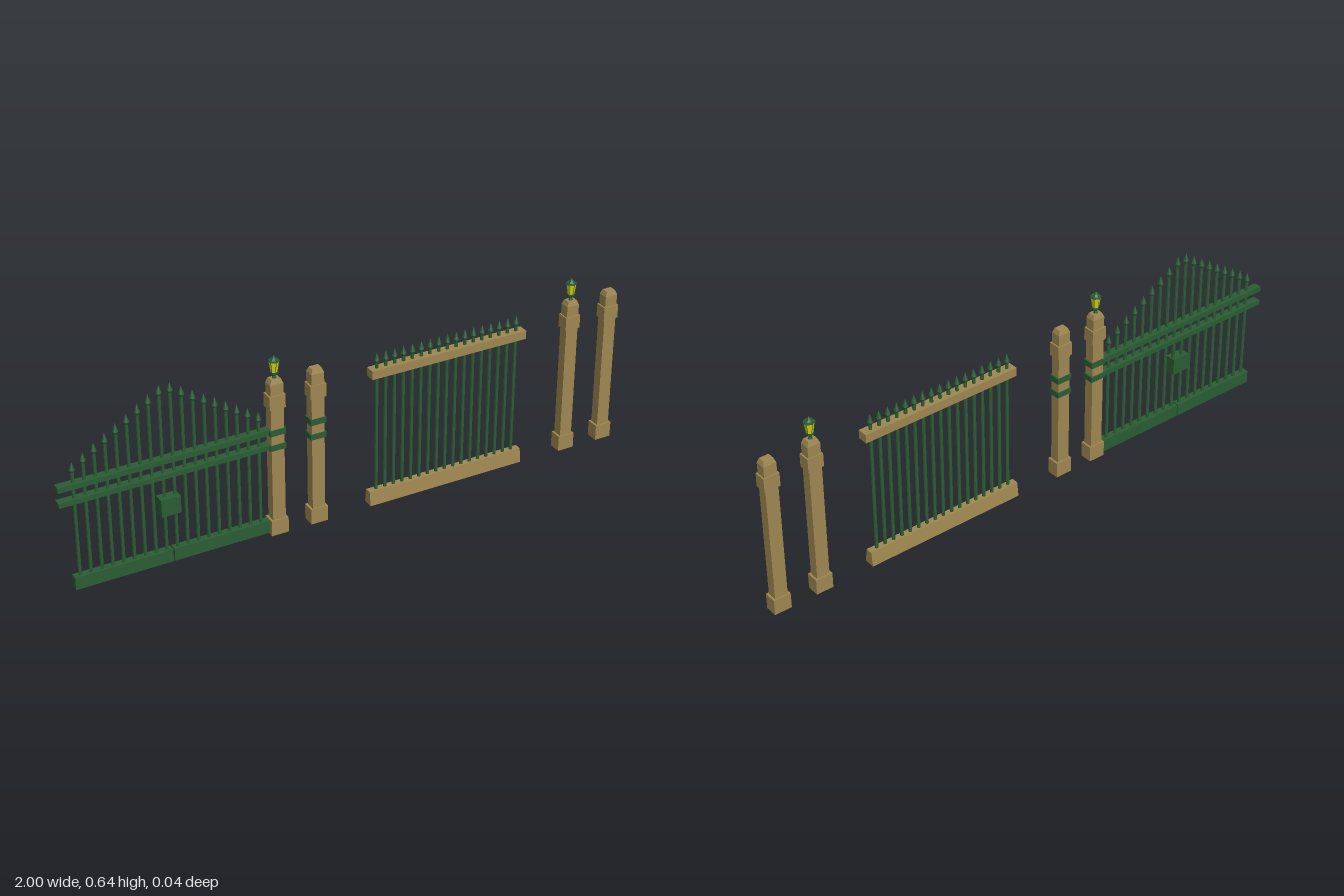
import * as THREE from 'three';

const stone = new THREE.MeshStandardMaterial({ color: 0x9e8650, flatShading: true });
const iron = new THREE.MeshStandardMaterial({ color: 0x2a5c34, flatShading: true });
const glass = new THREE.MeshStandardMaterial({ color: 0xd8d010, flatShading: true });

function add(parent, name, geo, mat, x = 0, y = 0, z = 0) {
  const mesh = new THREE.Mesh(geo, mat);
  mesh.name = name;
  mesh.position.set(x, y, z);
  parent.add(mesh);
  return mesh;
}

// Box given by its lower and upper bounds
function block(parent, name, mat, [x0, x1], [y0, y1], [z0, z1]) {
  return add(parent, name, new THREE.BoxGeometry(x1 - x0, y1 - y0, z1 - z0), mat,
    (x0 + x1) / 2, (y0 + y1) / 2, (z0 + z1) / 2);
}

// Box whose top face is scaled in x and z
function taper(mesh, sx, sz) {
  const p = mesh.geometry.attributes.position;
  for (let i = 0; i < p.count; i++) {
    if (p.getY(i) > 0) p.setXYZ(i, p.getX(i) * sx, p.getY(i), p.getZ(i) * sz);
  }
  mesh.geometry.computeVertexNormals();
}

// Round bar with a pointed finial
function picket(parent, x, y0, tip, z) {
  const h = tip - 0.035 - y0;
  add(parent, 'picketBar', new THREE.CylinderGeometry(0.0058, 0.0058, h, 8), iron, x, y0 + h / 2, z);
  const profile = [[0, 0], [0.006, 0], [0.0095, 0.008], [0.0075, 0.014], [0, 0.037]]
    .map(([r, y]) => new THREE.Vector2(r, y));
  add(parent, 'picketFinial', new THREE.LatheGeometry(profile, 8), iron, x, tip - 0.037, z);
}

// Six-sided lantern with glass, corner struts and pointed roof
function lantern(parent, x) {
  const g = new THREE.Group();
  g.name = 'lantern';
  g.position.set(x, 0.56, 0);
  parent.add(g);
  const ring = (name, mat, r0, r1, y0, y1) =>
    add(g, name, new THREE.CylinderGeometry(r1, r0, y1 - y0, 6), mat, 0, (y0 + y1) / 2, 0);
  ring('lanternFoot', iron, 0.008, 0.005, 0, 0.009);
  ring('lanternNeck', iron, 0.005, 0.008, 0.009, 0.018);
  ring('lanternBase', iron, 0.013, 0.013, 0.018, 0.023);
  ring('lanternGlass', glass, 0.011, 0.0165, 0.023, 0.06);
  ring('lanternRim', iron, 0.019, 0.018, 0.059, 0.063);
  ring('lanternRoof', iron, 0.011, 0.006, 0.063, 0.070);
  ring('lanternSpire', iron, 0.006, 0, 0.070, 0.081);
  for (let i = 0; i < 6; i++) {
    const a = i * Math.PI / 3;
    const at = (r, y) => new THREE.Vector3(Math.sin(a) * r, y, Math.cos(a) * r);
    const path = new THREE.LineCurve3(at(0.011, 0.022), at(0.0168, 0.06));
    add(g, 'lanternStrut', new THREE.TubeGeometry(path, 1, 0.0009, 4), iron);
  }
}

// Stone post with base, collar and chamfered cap; optional lantern and iron bands
function pillar(root, x, hasLantern, hasBands) {
  const g = new THREE.Group();
  g.name = 'pillar';
  root.add(g);
  const part = (name, mat, w, y0, y1, d) =>
    block(g, name, mat, [x - w, x + w], [y0, y1], [-d, d]);
  part('pillarBase', stone, 0.03, 0, 0.055, 0.022);
  part('pillarShaft', stone, 0.0225, 0.055, 0.545, 0.0172);
  part('pillarCollar', stone, 0.0275, 0.46, 0.507, 0.021);
  taper(part('pillarCap', stone, 0.0225, 0.545, 0.561, 0.0172), 0.72, 0.72);
  if (hasBands) {
    part('pillarBand', iron, 0.0275, 0.312, 0.332, 0.02);
    part('pillarBand', iron, 0.0275, 0.365, 0.386, 0.02);
  }
  if (hasLantern) lantern(g, x);
}

export function createModel() {
  const root = new THREE.Group();
  root.name = 'gateAndFence';

  // Pillars
  pillar(root, -0.272, true, true);
  pillar(root, -0.13, false, true);
  pillar(root, 0.818, true, false);
  pillar(root, 0.97, false, false);

  // Two-leaf gate
  const gate = new THREE.Group();
  gate.name = 'gate';
  root.add(gate);
  const mid = -0.637, gz = -0.003;
  block(gate, 'gateBottomLeft', iron, [mid + 0.002, -0.3], [0.008, 0.052], [gz - 0.013, gz + 0.013]);
  block(gate, 'gateBottomRight', iron, [-0.967, mid - 0.002], [0.008, 0.052], [gz - 0.013, gz + 0.013]);
  block(gate, 'gateLowerRail', iron, [-1, -0.29], [0.314, 0.331], [gz - 0.014, gz + 0.014]);
  block(gate, 'gateUpperRail', iron, [-1, -0.29], [0.367, 0.385], [gz - 0.014, gz + 0.014]);
  block(gate, 'lockBox', iron, [-0.676, -0.61], [0.187, 0.247], [-0.017, 0.021]);
  for (let i = 0; i < 9; i++) {
    for (const side of [-1, 1]) {
      picket(gate, mid + side * (0.018 + i * 0.0363), 0.05, 0.64 - i * 0.023, gz);
    }
  }

  // Fence panel
  const fence = new THREE.Group();
  fence.name = 'fence';
  root.add(fence);
  taper(block(fence, 'fenceBottomRail', stone, [0.059, 0.637], [0, 0.05], [-0.019, 0.019]), 1, 0.65);
  block(fence, 'fenceTopRail', stone, [0.064, 0.637], [0.47, 0.5], [-0.018, 0.018]);
  for (let i = 0; i < 17; i++) picket(fence, 0.089 + i * 0.0324, 0.045, 0.555, 0);

  return root;
}
